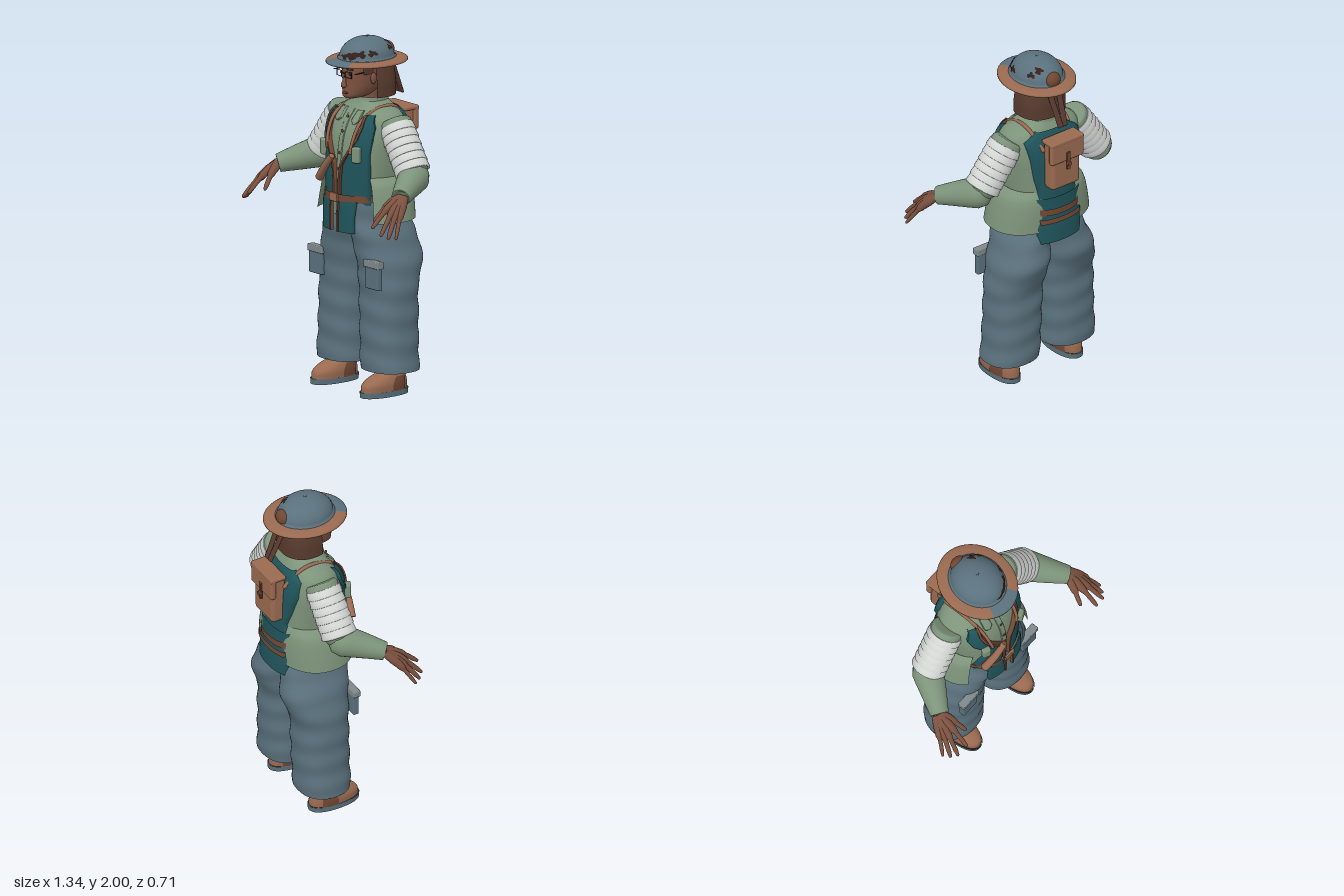
import * as THREE from 'three';
import { mergeVertices } from 'three/addons/utils/BufferGeometryUtils.js';
import { RoundedBoxGeometry } from 'three/addons/geometries/RoundedBoxGeometry.js';
import { ParametricGeometry } from 'three/addons/geometries/ParametricGeometry.js';

const { PI, sin, cos, sign, abs, min, max } = Math;
const V = (a) => new THREE.Vector3(...a);

// Smooth seamless surface from a rule (u, v) -> [x, y, z]
function surface(fn, nu, nv) {
  const g = new ParametricGeometry((u, v, t) => t.set(...fn(u, v)), nu, nv);
  g.deleteAttribute('normal');
  g.deleteAttribute('uv');
  const m = mergeVertices(g, 1e-5);
  m.computeVertexNormals();
  return m;
}

// Section rows are [y, halfWidth, zFront, zBack, centreX]; smooth lookup by height
function section(keys, y) {
  let i = 0;
  while (i < keys.length - 2 && y > keys[i + 1][0]) i++;
  const a = keys[i], b = keys[i + 1], p = keys[i - 1] || a, n = keys[i + 2] || b;
  const h = b[0] - a[0], t = min(1, max(0, (y - a[0]) / h)), t2 = t * t, t3 = t2 * t;
  return [1, 2, 3, 4].map((k) => {
    const q = (r) => r[k] || 0;
    const ma = (q(b) - q(p)) / (b[0] - p[0]) * h, mb = (q(n) - q(a)) / (n[0] - a[0]) * h;
    return (2 * t3 - 3 * t2 + 1) * q(a) + (t3 - 2 * t2 + t) * ma + (3 * t2 - 2 * t3) * q(b) + (t3 - t2) * mb;
  });
}
function onBody(keys, y, a, off = 0, e = 0.88) {
  const [rx, zf, zb, cx] = section(keys, y);
  const pw = (c) => sign(c) * abs(c) ** e;
  return [cx + (rx + off) * pw(sin(a)), y, (zf + zb) / 2 + ((zf - zb) / 2 + off) * pw(cos(a))];
}
function loft(keys, { a0 = -PI, a1 = PI, y0 = keys[0][0], y1 = keys.at(-1)[0], off = 0, fold = 0, nu = 40, nv = 24 } = {}) {
  return surface((u, v) => {
    const y = y0 + (y1 - y0) * v, a = a0 + (a1 - a0) * u;
    return onBody(keys, y, a, off + fold * sin(y * 42 + 1.5 * sin(a)));
  }, nu, nv);
}
// Cloth panel lying on a body; rows are [y, x0, x1]
function panel(keys, rows, off, back = false) {
  const ang = (x, y) => {
    const rx = section(keys, y)[0] + off;
    const a = Math.asin(min(0.99, abs(x) / rx) ** (1 / 0.88)) * sign(x);
    return back ? PI - a : a;
  };
  const n = rows.length - 1;
  return surface((u, v) => {
    const i = min(n - 1, Math.floor(v * n)), t = v * n - i, L = THREE.MathUtils.lerp;
    const [y, x0, x1] = rows[i].map((q, k) => L(q, rows[i + 1][k], t));
    const edge = u < 0.01 || u > 0.99;
    const w = back ? 1 - u : u;
    return onBody(keys, y, L(ang(x0, y), ang(x1, y), w), edge ? 0 : off);
  }, 16, n * 4);
}
// Round sweep along a smooth path; keys are [t, radius]
function sweep(points, keys, sides = 16, m = 3) {
  const c = new THREE.CatmullRomCurve3(points.map(V)), N = 40, f = c.computeFrenetFrames(N), n = keys.length - 1;
  return surface((u, v) => {
    const i = min(n - 1, Math.floor(v * n)), k = v * n - i;
    const t = keys[i][0] + (keys[i + 1][0] - keys[i][0]) * k, r = keys[i][1] + (keys[i + 1][1] - keys[i][1]) * k;
    const j = Math.round(t * N), a = u * 2 * PI;
    return c.getPointAt(t).addScaledVector(f.normals[j], r * cos(a)).addScaledVector(f.binormals[j], r * sin(a)).toArray();
  }, sides, n * m);
}
const lathe = (pts, seg = 48, start = 0, len = 2 * PI) =>
  new THREE.LatheGeometry(pts.map((p) => new THREE.Vector2(...p)), seg, start, len);

const TORSO = [[1.0, 0.2, 0.13, -0.24], [1.1, 0.2, 0.14, -0.255], [1.2, 0.215, 0.14, -0.255], [1.35, 0.235, 0.135, -0.25],
  [1.45, 0.245, 0.12, -0.245], [1.54, 0.24, 0.085, -0.225], [1.58, 0.215, 0.055, -0.205], [1.61, 0.15, 0.03, -0.19], [1.64, 0.092, 0.012, -0.175]];
const HANG = [[0.92, 0.24, 0.165, -0.285], [1.02, 0.235, 0.165, -0.28], [1.12, 0.225, 0.16, -0.27]];
const SKIRT = [[0.99, 0.315, 0.17, -0.275], [1.1, 0.295, 0.16, -0.275], [1.19, 0.268, 0.15, -0.268], [1.235, 0.225, 0.13, -0.25]];
const LEG = [[0.14, 0.165, 0.09, -0.215, 0.195], [0.3, 0.16, 0.09, -0.22, 0.187], [0.5, 0.16, 0.09, -0.225, 0.18], [0.62, 0.16, 0.09, -0.23, 0.175],
  [0.72, 0.155, 0.1, -0.272, 0.165], [0.8, 0.145, 0.11, -0.285, 0.15], [0.9, 0.13, 0.13, -0.268, 0.125], [1.0, 0.115, 0.13, -0.25, 0.1], [1.12, 0.105, 0.13, -0.235, 0.095]];
const SHOE = [[0.03, 0.07, 0.15, -0.153], [0.07, 0.072, 0.142, -0.15], [0.1, 0.066, 0.1, -0.142], [0.13, 0.058, 0.03, -0.13], [0.2, 0.055, 0.02, -0.12]];
const HEAD = [[1.655, 0.005, 0.06, 0.04], [1.668, 0.045, 0.1, -0.05], [1.7, 0.068, 0.102, -0.11], [1.75, 0.082, 0.098, -0.15], [1.82, 0.088, 0.098, -0.17], [1.88, 0.086, 0.09, -0.17]];
const HAIR = [[1.67, 0.145, 0.06, -0.212], [1.76, 0.142, 0.06, -0.212], [1.87, 0.12, 0.05, -0.2]];

export function createModel() {
  const root = new THREE.Group();
  const M = {};
  for (const [name, color] of Object.entries({
    blueGreyCloth: 0x5a717d, sageCloth: 0x7d937a, tealCloth: 0x1f545b, tanLeather: 0x9a6a50, skin: 0x7c5140,
    darkHair: 0x573a2e, bandageWhite: 0xd3d7d4, greyFlap: 0x7f898b, darkRust: 0x35201c, strapBrown: 0x714733,
  })) {
    M[name] = new THREE.MeshStandardMaterial({ color, side: THREE.DoubleSide });
    M[name].name = name;
  }
  const add = (name, geo, mat, pos = [0, 0, 0], rot = [0, 0, 0], scale = [1, 1, 1]) => {
    const m = new THREE.Mesh(geo, M[mat]);
    m.name = name;
    m.position.set(...pos);
    m.rotation.set(...rot);
    m.scale.set(...scale);
    root.add(m);
    return m;
  };
  const box = (w, h, d, r = 0.006) => new RoundedBoxGeometry(w, h, d, 2, r);
  const ball = new THREE.SphereGeometry(1, 20, 14);
  const flipped = (keys, s) => keys.map(([y, rx, f, b, cx = 0]) => [y, rx, f, b, cx * s]);
  const side = (rows, s) => rows.map(([y, a, b]) => (s > 0 ? [y, a, b] : [y, -b, -a]));

  // Head, face and glasses
  add('head', loft(HEAD), 'skin');
  add('neck', new THREE.CylinderGeometry(0.052, 0.06, 0.14, 24), 'skin', [0, 1.65, -0.065]);
  add('nose', sweep([[0, 1.8, 0.095], [0, 1.755, 0.108], [0, 1.722, 0.106]], [[0, 0.004], [0.6, 0.012], [0.85, 0.018], [1, 0.004]]), 'skin');
  add('lips', ball, 'strapBrown', [0, 1.696, 0.099], [0, 0, 0], [0.025, 0.007, 0.01]);
  add('glassesBridge', box(0.03, 0.006, 0.006, 0.002), 'darkRust', [0, 1.808, 0.112]);
  add('bob', loft(HAIR, { a0: 1.2, a1: 2 * PI - 1.2 }), 'darkHair');
  for (const s of [1, -1]) {
    add('eye', ball, 'darkRust', [s * 0.037, 1.803, 0.092], [0, 0, 0], [0.014, 0.006, 0.008]);
    add('brow', box(0.042, 0.01, 0.01, 0.003), 'darkHair', [s * 0.038, 1.832, 0.095], [0, s * 0.25, 0]);
    add('lensFrame', new THREE.TorusGeometry(0.026, 0.003, 6, 4).rotateZ(PI / 4), 'darkRust', [s * 0.04, 1.803, 0.108], [0, s * 0.15, 0], [1.3, 0.9, 1]);
    add('glassesArm', box(0.005, 0.006, 0.13, 0.002), 'darkRust', [s * 0.088, 1.815, 0.04], [0, s * 0.1, 0]);
    add('ear', ball, 'skin', [s * 0.092, 1.775, -0.03], [0, 0, 0], [0.012, 0.032, 0.02]);
    add('sideburn', box(0.012, 0.07, 0.07), 'darkHair', [s * 0.086, 1.835, 0.0]);
    add('hangingStrap', box(0.034, 0.24, 0.014), 'darkHair', [s * 0.024, 1.755, -0.245], [0.4, 0, -s * 0.08]);
  }

  // Helmet: dome, brim with a front insert, worn patches, back knob
  const hat = [0, 0, -0.055], hs = [1, 1, 1.18];
  const dome = [[0.15, 1.865], [0.147, 1.885], [0.138, 1.885]];
  for (let i = 1; i <= 12; i++) dome.push([0.138 * cos(i * PI / 24), 1.885 + 0.112 * sin(i * PI / 24)]);
  const brim = [[0.1, 1.866], [0.15, 1.866], [0.195, 1.855], [0.205, 1.858], [0.205, 1.867], [0.195, 1.874], [0.17, 1.879], [0.14, 1.882]];
  add('helmetDome', lathe(dome), 'blueGreyCloth', hat, [0, 0, 0], hs);
  add('brim', lathe(brim, 48, 0.52, 2 * PI - 1.04), 'tanLeather', hat, [0, 0, 0], hs);
  add('brimInsert', lathe(brim, 12, -0.52, 1.04), 'blueGreyCloth', hat, [0, 0, 0], hs);
  add('helmetButton', ball, 'blueGreyCloth', [0, 1.997, -0.055], [0, 0, 0], [0.008, 0.004, 0.008]);
  add('helmetKnob', ball, 'strapBrown', [0, 1.905, -0.2], [0, 0, 0], [0.048, 0.045, 0.035]);
  for (const [a, h, r, k] of [[2.5, 0.75, 0.2, 1], [2.15, 0.5, 0.16, 3], [1.2, 0.35, 0.18, 2], [0.75, 0.3, 0.2, 4], [0.35, 0.22, 0.24, 5], [0.05, 0.14, 0.16, 6]]) {
    add('wornPatch', surface((u, v) => {
      const t = u * 2 * PI, q = r * v * (1 + 0.25 * sin(3 * t + k) + 0.2 * sin(5 * t + 2 * k));
      const az = a + q * cos(t), el = max(0.02, h + 0.75 * q * sin(t));
      return [0.141 * cos(el) * sin(az), 1.885 + 0.115 * sin(el), 0.141 * cos(el) * cos(az)];
    }, 28, 4), 'darkRust', hat, [0, 0, 0], hs);
  }

  // Jacket and vest
  add('jacket', loft(TORSO, { nv: 36 }), 'sageCloth');
  add('collar', loft([[1.6, 0.115, 0.04, -0.185], [1.635, 0.092, 0.015, -0.18], [1.662, 0.088, 0.005, -0.175]]), 'sageCloth');
  add('jacketSkirt', loft(SKIRT, { a0: 0.88, a1: 2 * PI - 0.88, nu: 56 }), 'sageCloth');
  add('vestBack', panel(TORSO, [[1.05, -0.17, 0.17], [1.16, -0.15, 0.15], [1.24, -0.12, 0.14], [1.32, -0.15, 0.16], [1.45, -0.19, 0.18], [1.55, -0.19, 0.2], [1.6, -0.12, 0.12]], 0.018, true), 'tealCloth');
  add('backFlap', panel(HANG, [[0.92, -0.15, 0.15], [1.02, -0.16, 0.16], [1.2, -0.16, 0.16]], 0.012, true), 'tealCloth');
  add('placket', panel(TORSO, [[1.02, -0.018, 0.018], [1.3, -0.018, 0.018], [1.6, -0.018, 0.018]], 0.006), 'sageCloth');
  const outer = { 1: [0.195, 0.2, 0.205, 0.205, 0.215, 0.215, 0.18], [-1]: [0.19, 0.175, 0.14, 0.14, 0.2, 0.215, 0.18] };
  const inner = [[1.08, 0.022], [1.2, 0.022], [1.3, 0.035], [1.36, 0.075], [1.45, 0.13], [1.52, 0.145], [1.585, 0.135]];
  for (const s of [1, -1]) {
    add('vestFront', panel(TORSO, side(inner.map(([y, x], i) => [y, x, outer[s][i]]), s), 0.02), 'tealCloth');
    add('vestTrim', panel(TORSO, side(inner.map(([y, x]) => [y, x - 0.008, x + 0.008]), s), 0.026), 'strapBrown');
    add('frontFlap', panel(HANG, side([[0.92, 0.03, 0.14], [1.02, 0.03, 0.142], [1.1, 0.03, 0.15]], s), 0.012), 'tealCloth');
    add('flapTrim', panel(HANG, side([[0.92, 0.024, 0.036], [1.1, 0.024, 0.036]], s), 0.018), 'strapBrown');
    add('chestFlap', panel(TORSO, side([[1.525, 0.07, 0.08], [1.545, 0.045, 0.105], [1.6, 0.05, 0.095]], s), 0.014), 'sageCloth');
    add('packStrap', sweep([[s * 0.1, 1.5, -0.25], [s * 0.13, 1.605, -0.15], [s * 0.13, 1.615, -0.06], [s * 0.12, 1.55, 0.08], [s * 0.11, 1.44, 0.135], [s * 0.1, 1.37, 0.145]],
      [[0, 0.012], [1, 0.009]], 8, 30), 'tanLeather');
    add('chestPouch', box(0.05, 0.09, 0.035, 0.01), 'sageCloth', [s * 0.145, 1.37, 0.135], [0, s * 0.4, 0]);
  }
  for (const y of [1.2, 1.27, 1.36, 1.48, 1.56])
    add('button', ball, 'strapBrown', onBody(TORSO, y, 0, 0.008), [0, 0, 0], [0.009, 0.009, 0.005]);

  // Belt, buckle and holster roll
  const BELT = [[1.095, 0.215, 0.178, -0.298], [1.135, 0.213, 0.178, -0.298]];
  add('belt', loft(BELT, { nv: 4 }), 'strapBrown');
  add('lowerBackBelt', panel(HANG, [[1.045, -0.15, 0.15], [1.075, -0.15, 0.15]], 0.024, true), 'strapBrown');
  add('buckle', box(0.07, 0.05, 0.014, 0.004), 'tanLeather', [0, 1.115, 0.182]);
  add('holsterRoll', sweep([[-0.17, 1.19, 0.145], [-0.1, 1.265, 0.165], [-0.03, 1.34, 0.17]], [[0, 0], [0, 0.024], [1, 0.018], [1, 0]], 14, 4), 'tanLeather');

  // Backpack
  add('backpack', box(0.2, 0.3, 0.09, 0.025), 'tanLeather', [0, 1.42, -0.28]);
  add('backpackFlap', box(0.228, 0.13, 0.035, 0.014), 'tanLeather', [0, 1.51, -0.321]);
  add('backpackTop', box(0.228, 0.025, 0.1, 0.01), 'tanLeather', [0, 1.57, -0.29]);
  add('backpackTab', box(0.024, 0.11, 0.012, 0.004), 'strapBrown', [0, 1.45, -0.341]);
  add('backpackPin', new THREE.CylinderGeometry(0.014, 0.014, 0.012, 14), 'strapBrown', [0, 1.435, -0.35], [PI / 2, 0, 0]);

  for (const s of [1, -1]) {
    const mx = (pts) => pts.map(([x, y, z]) => [x * s, y, z]);

    // Arms: sleeve, wrapped bandage bands, forearm cuff
    const A = [0.215, 1.545, -0.08], B = [0.415, 1.262, -0.065];
    const along = (t) => A.map((a, i) => a + (B[i] - a) * t);
    add('upperSleeve', sweep(mx([A, along(0.5), B]), [[0, 0], [0, 0.08], [0.04, 0.092], [0.5, 0.095], [0.9, 0.09], [1, 0.07], [1, 0]], 28), 'sageCloth');
    for (let i = 0; i < 6; i++) {
      const t = 0.1 + i * 0.135;
      add('bandageBand', sweep(mx([along(t), along(t + 0.07), along(t + 0.142)]), [[0, 0.092], [0, 0.097], [0.9, 0.102], [1, 0.092]], 28, 2), 'bandageWhite');
    }
    add('forearmSleeve', sweep(mx([[0.375, 1.285, -0.115], [0.42, 1.262, -0.05], [0.485, 1.23, 0.05], [0.545, 1.2, 0.14]]),
      [[0, 0], [0.02, 0.045], [0.1, 0.078], [0.25, 0.09], [0.6, 0.073], [1, 0.052], [1, 0.044], [0.95, 0.03], [0.94, 0]], 28), 'sageCloth');

    // Hands: each digit runs from the wrist so that together they form the palm
    const digits = [[0.485, 1.075, 0.285, 0.013], [0.55, 1.055, 0.35, 0.013], [0.615, 1.02, 0.34, 0.013], [0.645, 1.005, 0.31, 0.013], [0.668, 1.0, 0.272, 0.011]];
    digits.forEach(([x, y, z, r], i) => {
      const w = [0.54 + i * 0.006, 1.205, 0.138 - i * 0.003], tip = [x, y, z];
      const kn = w.map((c, k) => c + (tip[k] - c) * 0.48 + (k === 1 ? 0.018 : 0));
      add(i ? 'finger' : 'thumb', sweep(mx([w, kn, tip]), [[0, 0.022], [0.25, 0.026], [0.48, 0.021], [0.58, r + 0.001], [0.85, r], [0.97, r * 0.7], [1, 0]], 10), 'skin');
    });

    // Trouser legs with rolled hems and cargo pockets
    add('trouserLeg', loft(flipped(LEG, s), { fold: 0.0035, nv: 70 }), 'blueGreyCloth');
    add('rolledHem', lathe([[0, 0.17], [0.08, 0.17], [0.088, 0.145], [0.11, 0.162], [0.12, 0.141], [0.143, 0.158], [0.153, 0.137], [0.165, 0.145]], 36), 'blueGreyCloth', [s * 0.195, 0, -0.0625], [0, 0, 0], [1, 1, 0.93]);
    add('cargoPocket', box(0.115, 0.135, 0.035), 'blueGreyCloth', [s * 0.25, 0.688, 0.095]);
    add('cargoFlap', box(0.13, 0.04, 0.045), 'greyFlap', [s * 0.25, 0.762, 0.097]);

    // Shoes
    const shoe = SHOE.map((k) => [...k, s * 0.22]);
    const sole = [[0, 0.073, 0.154, -0.158, s * 0.22], [0.032, 0.074, 0.157, -0.16, s * 0.22]];
    add('shoeUpper', loft(shoe), 'tanLeather');
    add('sole', loft(sole, { nv: 3 }), 'blueGreyCloth');
    add('soleBottom', new THREE.CircleGeometry(1, 32), 'darkRust', [s * 0.22, 0.002, -0.002], [PI / 2, 0, 0], [0.073, 0.156, 1]);
    add('soleTop', new THREE.CircleGeometry(1, 32), 'blueGreyCloth', [s * 0.22, 0.031, -0.002], [-PI / 2, 0, 0], [0.074, 0.158, 1]);
    for (const q of [1, -1])
      add('shoePatch', loft(shoe, { a0: q > 0 ? 1.6 : -2.25, a1: q > 0 ? 2.25 : -1.6, y1: 0.11, off: 0.004, nu: 8, nv: 8 }), 'strapBrown');
  }
  return root;
}
